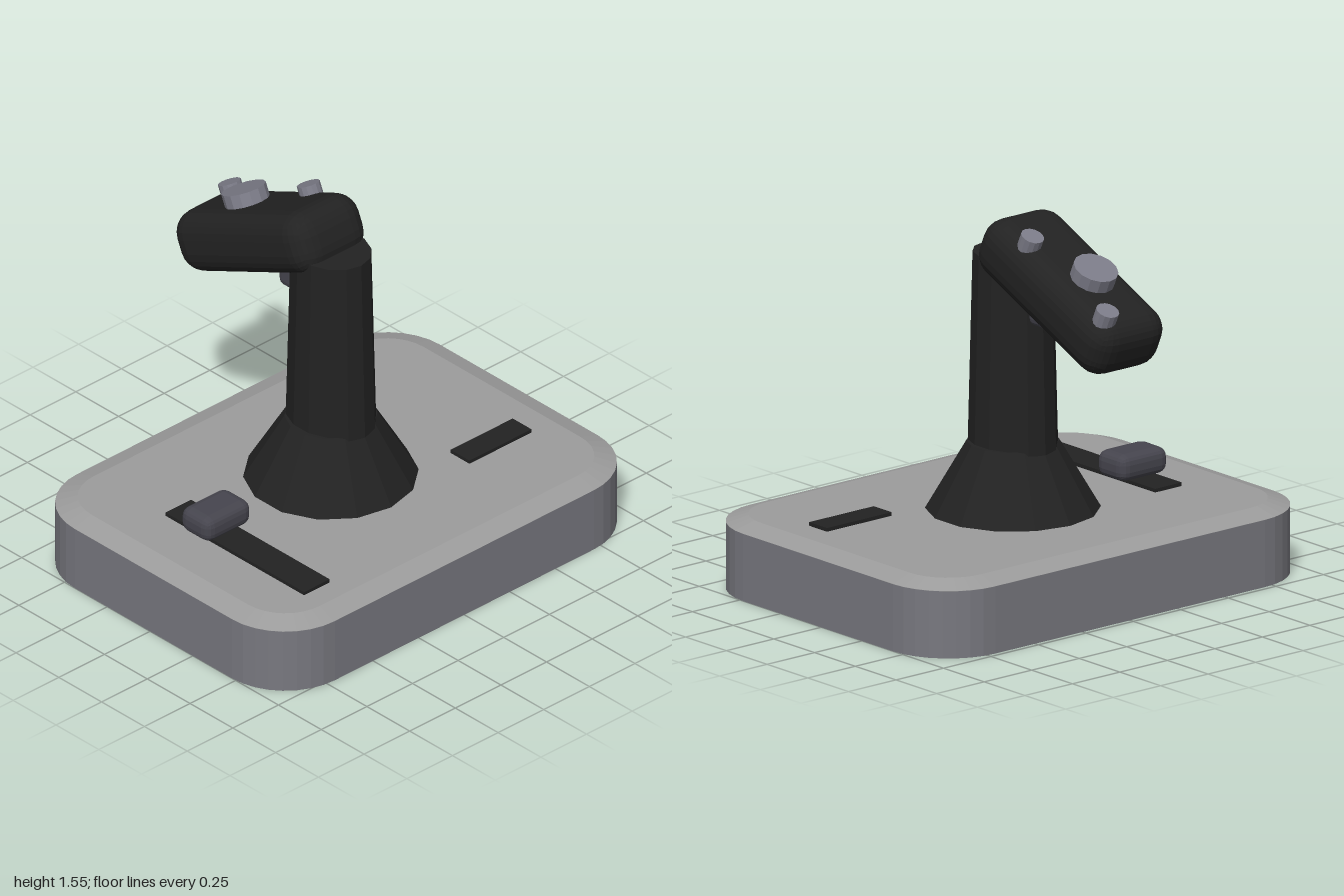
import * as THREE from 'three';
import { RoundedBoxGeometry } from 'three/addons/geometries/RoundedBoxGeometry.js';

const material = (name, color) => Object.assign(new THREE.MeshStandardMaterial({ color }), { name });

// Give every facet its own normal
function faceted(geometry) {
  const flat = geometry.index ? geometry.toNonIndexed() : geometry;
  flat.computeVertexNormals();
  return flat;
}

// Rectangle with round corners, drawn about the origin
function roundedRect(w, d, r) {
  const x = w / 2 - r, y = d / 2 - r, q = Math.PI / 2;
  const s = new THREE.Shape();
  s.absarc(x, y, r, 0, q);
  s.absarc(-x, y, r, q, 2 * q);
  s.absarc(-x, -y, r, 2 * q, 3 * q);
  s.absarc(x, -y, r, 3 * q, 4 * q);
  s.closePath();
  return s;
}

export function createModel() {
  const model = new THREE.Group();
  model.name = 'joystick';
  const casing = material('casing grey', 0x78787f);
  const panel = material('panel grey', 0x9c9c9c);
  const black = material('black plastic', 0x222222);
  const dark = material('dark grey', 0x46454e);
  const button = material('button grey', 0x7c7c88);

  function add(parent, name, geometry, mat, x, y, z) {
    const mesh = new THREE.Mesh(faceted(geometry), mat);
    mesh.name = name;
    mesh.position.set(x, y, z);
    parent.add(mesh);
    return mesh;
  }

  // Base: upright casing with a bevelled top panel
  const body = new THREE.ExtrudeGeometry(roundedRect(2, 1.5, 0.29),
    { depth: 0.28, bevelEnabled: false, curveSegments: 4 });
  add(model, 'baseCasing', body.rotateX(-Math.PI / 2), casing, 0, 0, 0.02);
  const top = new THREE.ExtrudeGeometry(roundedRect(1.82, 1.32, 0.2),
    { depth: 0.001, bevelThickness: 0.029, bevelSize: 0.09, bevelSegments: 1, curveSegments: 4 });
  add(model, 'topPanel', top.rotateX(-Math.PI / 2), panel, 0, 0.28, 0.02);

  // Throttle slider and side plate
  add(model, 'sliderTrack', new THREE.BoxGeometry(0.14, 0.03, 0.81), black, -0.63, 0.31, 0.175);
  add(model, 'sliderKnob', new RoundedBoxGeometry(0.25, 0.11, 0.17, 2, 0.04), dark, -0.625, 0.38, -0.015);
  add(model, 'sidePlate', new THREE.BoxGeometry(0.34, 0.03, 0.11), black, 0.62, 0.31, 0.265);

  // Stick: flared boot and oval column
  add(model, 'boot', new THREE.CylinderGeometry(0.187, 0.355, 0.285, 14), black, 0, 0.4475, -0.01);
  add(model, 'column', new THREE.CylinderGeometry(0.15, 0.168, 0.805, 14).scale(1, 1, 1.19),
    black, 0, 0.9725, -0.01);
  add(model, 'trigger', new RoundedBoxGeometry(0.12, 0.2, 0.1, 2, 0.03), dark, 0, 1.215, -0.213);

  // Tilted grip head with its buttons
  const head = new THREE.Group();
  head.name = 'head';
  head.position.set(0, 1.288, -0.365);
  head.rotation.x = -0.42;
  model.add(head);
  add(head, 'grip', new RoundedBoxGeometry(0.38, 0.26, 0.84, 3, 0.1), black, 0, 0, 0);
  for (const [name, x, z, r, height] of [
    ['frontButton', 0.11, 0.19, 0.048, 0.167],
    ['backButton', 0.11, -0.315, 0.048, 0.167],
    ['hatButton', 0, -0.087, 0.093, 0.187],
  ]) {
    add(head, name, new THREE.CylinderGeometry(r, r, 0.1, 14), button, x, height - 0.05, z);
  }
  return model;
}
